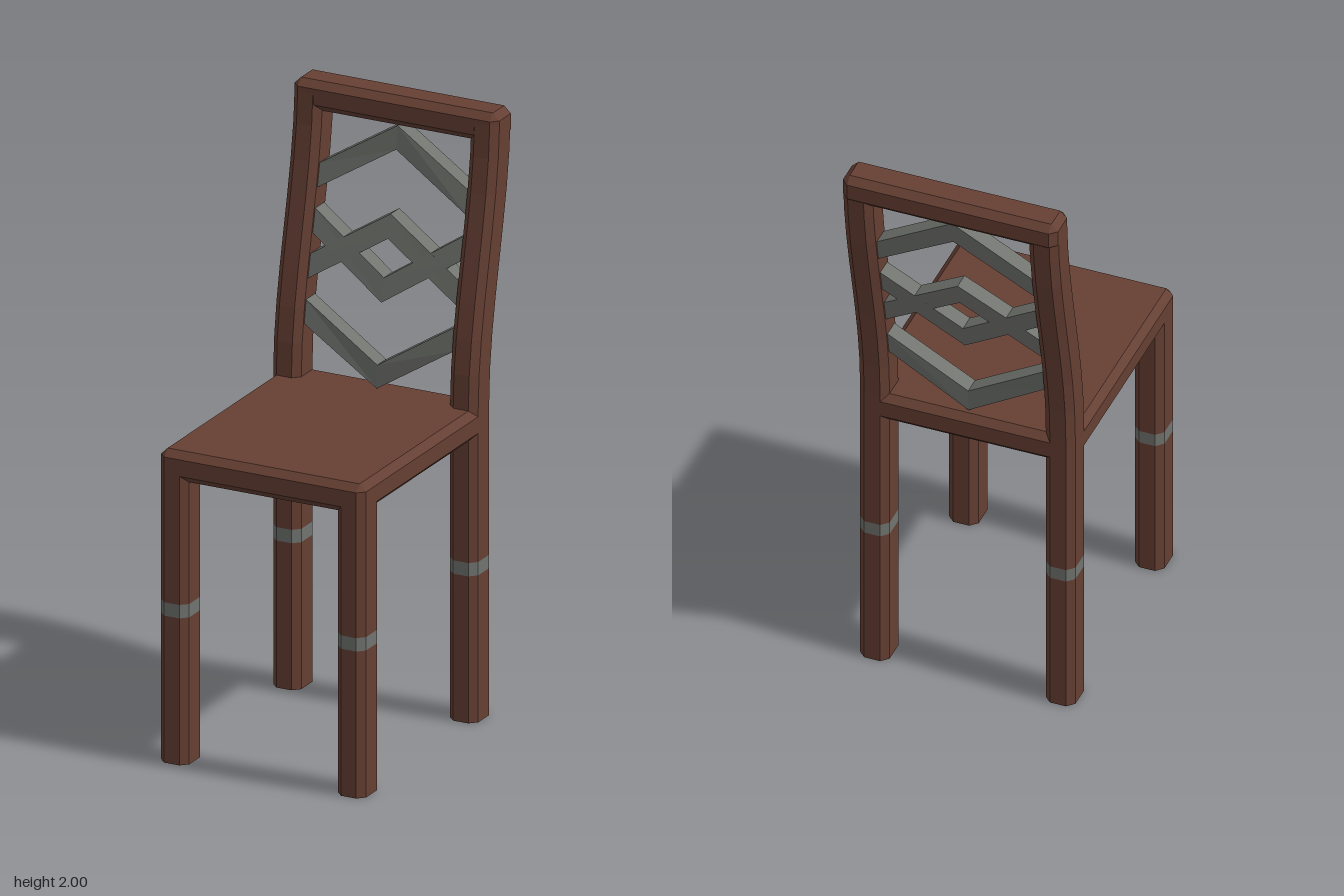
import * as THREE from 'three';

const wood = new THREE.MeshStandardMaterial({ color: 0x653f33, flatShading: true });
wood.name = 'brown wood';
const metal = new THREE.MeshStandardMaterial({ color: 0x70736e, flatShading: true });
metal.name = 'grey metal';

const CHAMFER = 0.023;

// Depth of the back's centre line: upright up to the seat, then a gentle S-curve
const backZ = (y) => -0.305 - 0.145 * THREE.MathUtils.smoothstep(y, 1.05, 2);

// Joins matching rings of points into a closed, flat-faced solid
function loft(rings) {
  const pos = [];
  const tri = (...pts) => pts.forEach((p) => pos.push(...p));
  const n = rings[0].length;
  const last = rings[rings.length - 1];
  for (let k = 0; k < n; k++) {
    const m = (k + 1) % n;
    for (let i = 0; i < rings.length - 1; i++) {
      const a = rings[i], b = rings[i + 1];
      tri(a[k], b[k], a[m]);
      tri(a[m], b[k], b[m]);
    }
    if (k > 0 && k < n - 1) {
      tri(rings[0][0], rings[0][k], rings[0][m]);
      tri(last[0], last[m], last[k]);
    }
  }
  const geo = new THREE.BufferGeometry();
  geo.setAttribute('position', new THREE.Float32BufferAttribute(pos, 3));
  geo.computeVertexNormals();
  return geo;
}

// Horizontal rectangle with cut corners
function octagon(x, y, z, hx, hz, c) {
  return [
    [hx, -hz + c], [hx, hz - c], [hx - c, hz], [-hx + c, hz],
    [-hx, hz - c], [-hx, -hz + c], [-hx + c, -hz], [hx - c, -hz],
  ].map(([dx, dz]) => [x + dx, y, z + dz]);
}

// Box with every edge chamfered
function chamferBox(y0, y1, z0, z1, hx) {
  const z = (z0 + z1) / 2, hz = (z1 - z0) / 2, c = CHAMFER;
  const inner = (y) => octagon(0, y, z, hx - c, hz - c, 0.001);
  const outer = (y) => octagon(0, y, z, hx, hz, c);
  return loft([inner(y0), outer(y0 + c), outer(y1 - c), inner(y1)]);
}

// Post through the given heights, following a depth rule
const post = (x, heights, zAt) =>
  loft(heights.map((y) => octagon(x, y, zAt(y), 0.05, 0.06, CHAMFER)));

// Bent slat between the back posts, leaning with the back
function chevron(endY, apexY) {
  const hy = 0.039, hz = 0.03;
  const section = (x, y) => [[1, -1], [1, 1], [-1, 1], [-1, -1]]
    .map(([sz, sy]) => [x, y + sy * hy, backZ(y + sy * hy) + sz * hz]);
  return loft([section(-0.27, endY), section(0, apexY), section(0.27, endY)]);
}

export function createModel() {
  const chair = new THREE.Group();
  chair.name = 'chair';
  const add = (name, geo, mat) => {
    const mesh = new THREE.Mesh(geo, mat);
    mesh.name = name;
    chair.add(mesh);
  };

  add('seat', chamferBox(0.95, 1.052, -0.365, 0.51, 0.365), wood);
  add('topRail', chamferBox(1.9, 2, -0.511, -0.389, 0.365), wood);

  // Heights of the curved upper part of the back posts
  const curveHeights = Array.from({ length: 9 }, (_, i) => 1.05 + i * 0.115);

  for (const [side, x] of [['left', 0.315], ['right', -0.315]]) {
    const frontZ = () => 0.45;
    // Legs, each with a flush metal band
    add(side + 'FrontLegLower', post(x, [0, 0.495], frontZ), wood);
    add(side + 'FrontLegBand', post(x, [0.495, 0.54], frontZ), metal);
    add(side + 'FrontLegUpper', post(x, [0.54, 1.0], frontZ), wood);
    add(side + 'BackLegLower', post(x, [0, 0.495], backZ), wood);
    add(side + 'BackLegBand', post(x, [0.495, 0.54], backZ), metal);
    add(side + 'BackPost', post(x, [0.54, ...curveHeights], backZ), wood);
  }

  // Zigzag slats of the back, as [height at the posts, height at the middle]
  [[1.69, 1.857], [1.405, 1.575], [1.553, 1.375], [1.266, 1.096]]
    .forEach(([endY, apexY], i) => add('backSlat' + (i + 1), chevron(endY, apexY), metal));

  return chair;
}
